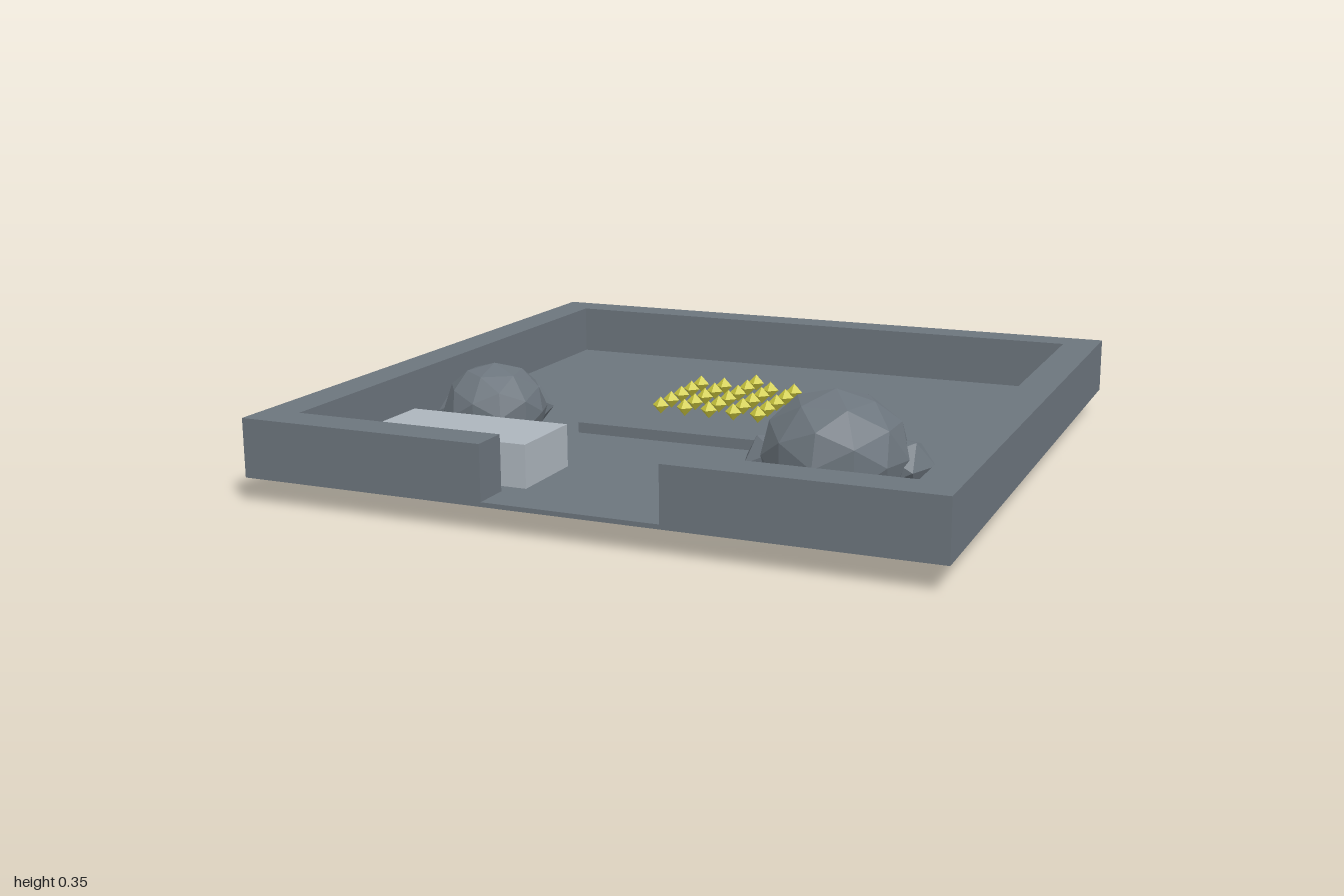
import * as THREE from 'three';

export function createModel() {
  const model = new THREE.Group();
  const slate = new THREE.MeshStandardMaterial({ color: 0x6c757d });
  slate.name = 'slate grey';
  const pale = new THREE.MeshStandardMaterial({ color: 0xadb5bd });
  pale.name = 'pale grey';
  const yellow = new THREE.MeshStandardMaterial({ color: 0xd0cc40 });
  yellow.name = 'yellow';

  // Box given by its lower and upper limits
  function box(name, material, [x0, x1], [y0, y1], [z0, z1]) {
    const mesh = new THREE.Mesh(new THREE.BoxGeometry(x1 - x0, y1 - y0, z1 - z0), material);
    mesh.position.set((x0 + x1) / 2, (y0 + y1) / 2, (z0 + z1) / 2);
    mesh.name = name;
    model.add(mesh);
  }

  // Floor slab and raised bed
  box('floor', slate, [-1, 1], [0.075, 0.088], [-1, 1]);
  box('platform', slate, [-0.35, 0.35], [0.088, 0.12], [-0.45, 0.245]);

  // Perimeter wall with a gap at the front, as one outline
  const outline = [[-0.255, 1], [-1, 1], [-1, -1], [1, -1], [1, 1], [0.255, 1],
    [0.255, 0.89], [0.89, 0.89], [0.89, -0.89], [-0.89, -0.89], [-0.89, 0.89], [-0.255, 0.89]];
  const wallShape = new THREE.Shape(outline.map(([x, z]) => new THREE.Vector2(x, -z)));
  const wallGeometry = new THREE.ExtrudeGeometry(wallShape, { depth: 0.157, bevelEnabled: false });
  wallGeometry.rotateX(-Math.PI / 2);
  const wall = new THREE.Mesh(wallGeometry, slate);
  wall.position.y = 0.088;
  wall.name = 'wall';
  model.add(wall);

  // Pale block beside the entrance
  box('bench', pale, [-0.7, -0.205], [0.088, 0.21], [0.6, 0.845]);

  // Faceted rocks, each a large stone with smaller lumps
  function stone(name, parent, detail, position, radii, turn) {
    const geometry = new THREE.IcosahedronGeometry(1, detail);
    geometry.rotateY(turn);
    geometry.scale(...radii);
    geometry.computeVertexNormals();
    const mesh = new THREE.Mesh(geometry, slate);
    mesh.position.set(...position);
    mesh.name = name;
    parent.add(mesh);
  }
  const largeRock = new THREE.Group();
  largeRock.name = 'largeRock';
  stone('stone', largeRock, 1, [0.55, 0.18, 0.5], [0.207, 0.177, 0.197], 0);
  stone('lump', largeRock, 0, [0.375, 0.14, 0.49], [0.095, 0.08, 0.1], 0.3);
  stone('lump', largeRock, 0, [0.72, 0.15, 0.44], [0.09, 0.08, 0.1], -0.4);
  const smallRock = new THREE.Group();
  smallRock.name = 'smallRock';
  stone('stone', smallRock, 1, [-0.6, 0.157, 0.305], [0.157, 0.139, 0.157], 0.6);
  stone('lump', smallRock, 0, [-0.715, 0.14, 0.285], [0.085, 0.07, 0.085], 0.2);
  stone('lump', smallRock, 0, [-0.555, 0.14, 0.185], [0.08, 0.07, 0.085], 0.9);
  model.add(largeRock, smallRock);

  // Rows of small crystals on the platform, plus one at the back
  const crystals = new THREE.Group();
  crystals.name = 'crystals';
  const crystalGeometry = new THREE.OctahedronGeometry(0.027);
  function crystal(x, z) {
    const mesh = new THREE.Mesh(crystalGeometry, yellow);
    mesh.position.set(x, 0.15, z);
    mesh.name = 'crystal';
    crystals.add(mesh);
  }
  for (let row = 0; row < 5; row++) {
    for (let col = -2; col <= 2; col++) crystal(col * 0.08, 0.06 - row * 0.081);
  }
  crystal(0, -0.345);
  model.add(crystals);

  return model;
}
